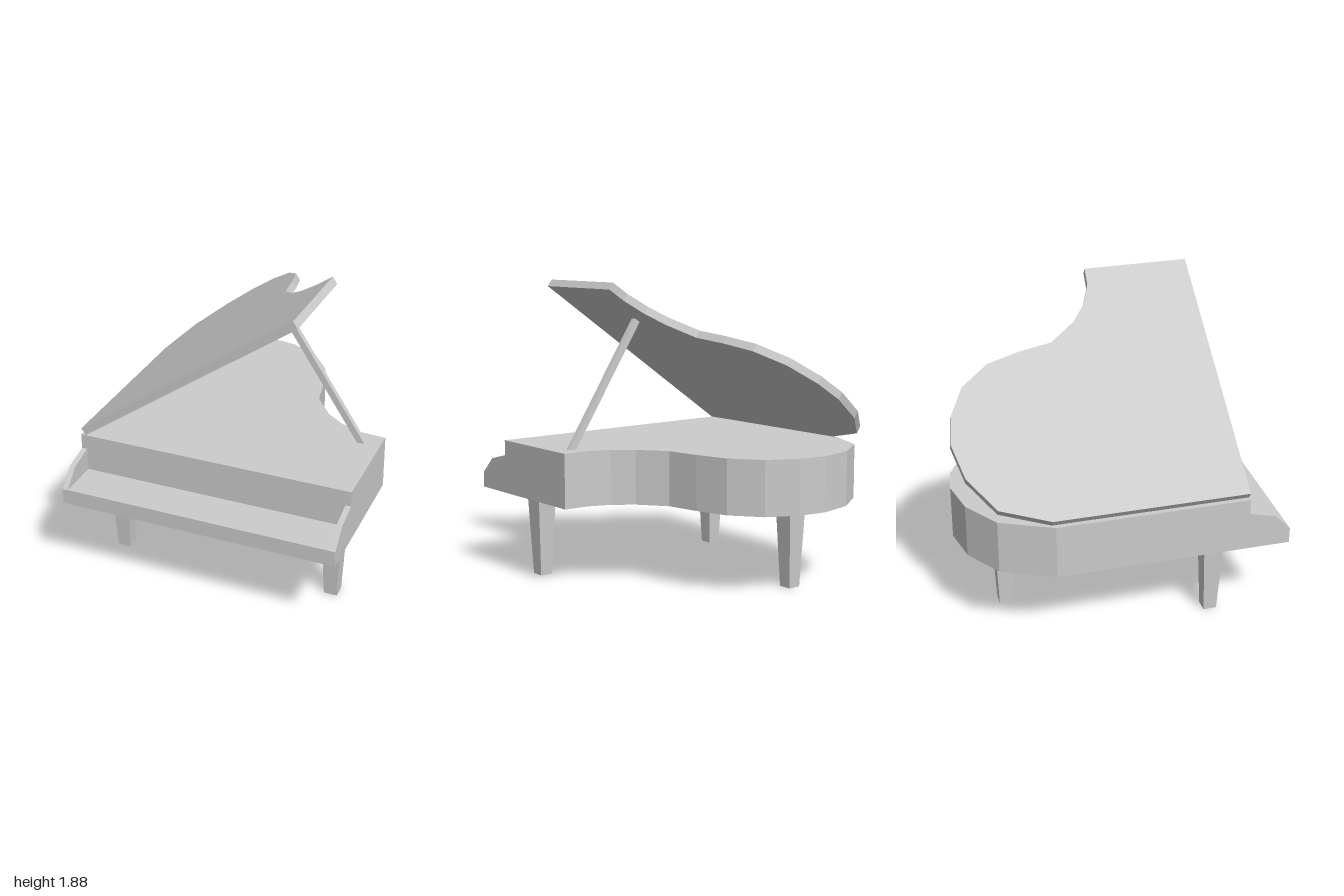
import * as THREE from 'three';

const material = new THREE.MeshStandardMaterial({ color: 0xcccccc, flatShading: true });

function addMesh(parent, name, geometry, x = 0, y = 0, z = 0) {
  const mesh = new THREE.Mesh(geometry, material);
  mesh.name = name;
  mesh.position.set(x, y, z);
  parent.add(mesh);
  return mesh;
}

// Solid slab from a plan outline of [x, z] points, resting on y = 0
function slab(points, height) {
  const shape = new THREE.Shape(points.map(([x, z]) => new THREE.Vector2(x, -z)));
  return new THREE.ExtrudeGeometry(shape, { depth: height, bevelEnabled: false }).rotateX(-Math.PI / 2);
}

// Curved edge shared by case and lid, running from the treble side round the tail
const bentSide = [
  [0.72, 0.045], [0.58, -0.01], [0.46, -0.1], [0.33, -0.27], [0.29, -0.48], [0.23, -0.69],
  [0.09, -0.87], [-0.1, -0.97], [-0.28, -1], [-0.515, -0.95], [-0.74, -0.8],
];

export function createModel() {
  const piano = new THREE.Group();
  piano.name = 'grandPiano';

  // Case with a flat top
  const caseOutline = [[-0.885, 0.717], [0.883, 0.73], [0.88, 0.055], ...bentSide, [-0.885, -0.48]];
  addMesh(piano, 'case', slab(caseOutline, 0.343), 0, 0.522, 0);

  // Key bed in front of the case
  const bedOutline = [[-0.885, 0.985], [0.883, 1], [0.883, 0.73], [-0.885, 0.717]];
  addMesh(piano, 'keyBed', slab(bedOutline, 0.1), 0, 0.522, 0);

  // Sloping cheeks at both ends of the key bed
  const cheekShape = new THREE.Shape(
    [[0.73, 0.62], [1, 0.62], [0.89, 0.727], [0.73, 0.768]].map(([z, y]) => new THREE.Vector2(z, y))
  );
  const cheek = new THREE.ExtrudeGeometry(cheekShape, { depth: 0.035, bevelEnabled: false }).rotateY(-Math.PI / 2);
  addMesh(piano, 'leftCheek', cheek, 0.883, 0, 0);
  addMesh(piano, 'rightCheek', cheek, -0.85, 0, -0.014);

  // Raised lid, hinged along the straight side
  const lidOutline = [
    [0, 0.716], [1.697, 0.728], [1.697, 0.053],
    ...bentSide.map(([x, z]) => [x + 0.855, z]), [0, -0.5],
  ];
  const lid = addMesh(piano, 'lid', slab(lidOutline, 0.051), -0.853, 0.866, 0);
  lid.rotation.z = Math.atan2(0.975, 1.39);

  // Prop stick holding the lid
  const foot = new THREE.Vector2(0.765, 0.855);
  const head = new THREE.Vector2(0.257, 1.638);
  const dir = head.clone().sub(foot);
  const prop = addMesh(piano, 'lidProp', new THREE.BoxGeometry(0.04, dir.length(), 0.037),
    (foot.x + head.x) / 2, (foot.y + head.y) / 2, 0.158);
  prop.rotation.z = dir.angle() - Math.PI / 2;

  // Square tapered legs
  const leg = new THREE.CylinderGeometry(0.065 * Math.SQRT2, 0.042 * Math.SQRT2, 0.525, 4).rotateY(Math.PI / 4);
  [['frontRightLeg', -0.695, 0.545], ['frontLeftLeg', 0.728, 0.545], ['backLeg', -0.292, -0.692]]
    .forEach(([name, x, z]) => addMesh(piano, name, leg, x, 0.2625, z));

  return piano;
}
